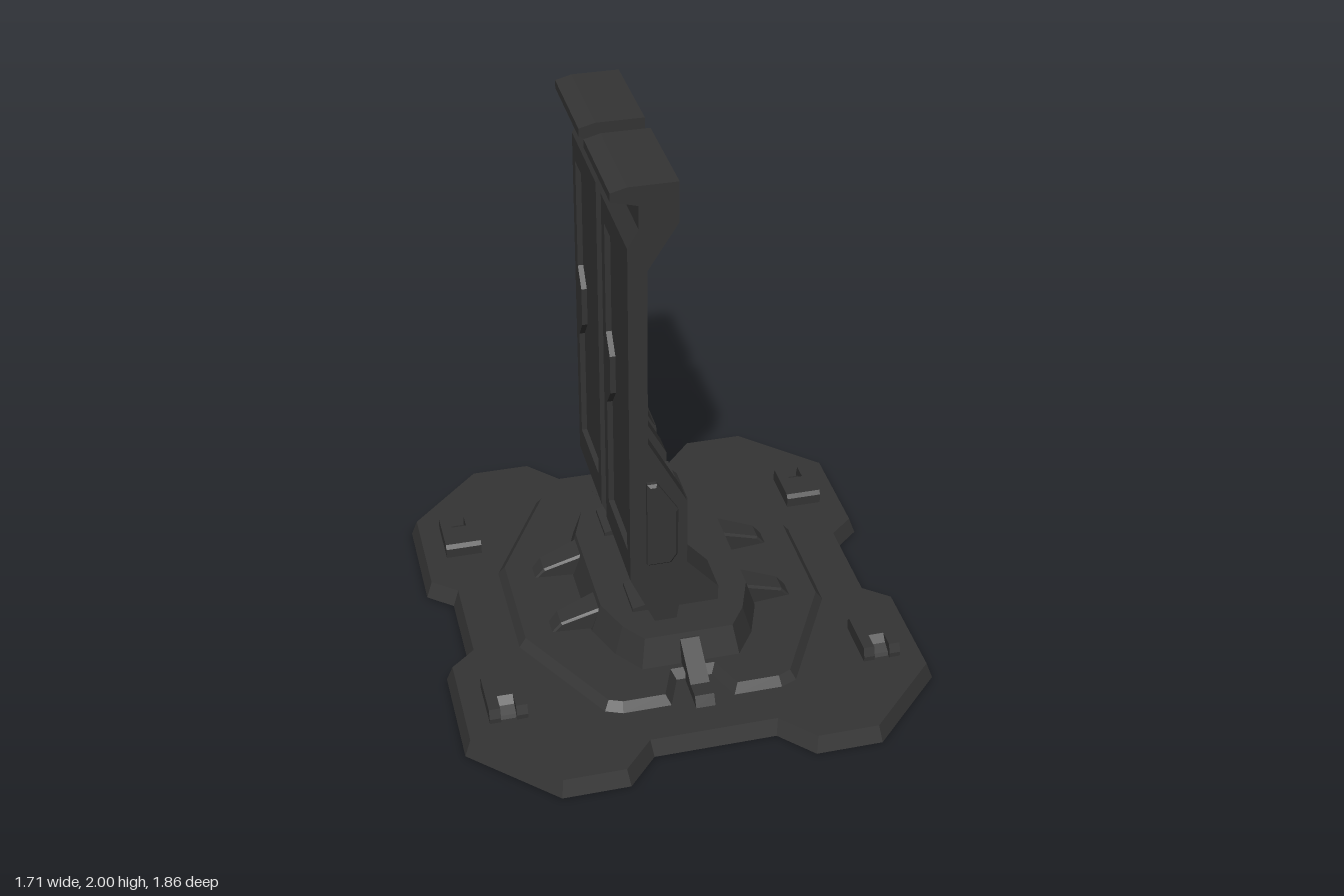
import * as THREE from 'three';

const dark = new THREE.MeshStandardMaterial({ color: 0x343434, side: THREE.DoubleSide });
dark.name = 'darkGraphite';

const toVectors = (pts) => pts.map(([x, y]) => new THREE.Vector2(x, y));
const shapeOf = (pts) => new THREE.Shape(toVectors(pts));

function addMesh(parent, name, geo) {
  const m = new THREE.Mesh(geo, dark);
  m.name = name;
  parent.add(m);
  return m;
}

// Mirror one quarter of an outline into a closed loop, moved along by shift
function mirrorQuarter(q, shift = 0) {
  const r = [...q].reverse();
  return [
    ...q,
    ...r.map(([x, y]) => [-x, y]),
    ...q.map(([x, y]) => [-x, -y]),
    ...r.map(([x, y]) => [x, -y]),
  ].map(([x, y]) => [x, y + shift]);
}

// Move every corner of a counter-clockwise outline inwards by d
function insetLoop(pts, d) {
  const n = pts.length;
  const normal = (a, b) => {
    const l = Math.hypot(b[0] - a[0], b[1] - a[1]);
    return [-(b[1] - a[1]) / l, (b[0] - a[0]) / l];
  };
  return pts.map((p, i) => {
    const a = normal(pts[(i + n - 1) % n], p);
    const b = normal(p, pts[(i + 1) % n]);
    const k = d / (1 + a[0] * b[0] + a[1] * b[1]);
    return [p[0] + (a[0] + b[0]) * k, p[1] + (a[1] + b[1]) * k];
  });
}

// Shell open below: sloping walls and a top, which may be cut out for the next tier
function tier(parent, name, pts, y0, y1, inset, cutout) {
  const top = insetLoop(pts, inset);
  const shape = shapeOf(top);
  if (cutout) shape.holes.push(new THREE.Path(toVectors(cutout)));
  const cap = new THREE.ShapeGeometry(shape).toNonIndexed();
  cap.translate(0, 0, y1);
  const verts = [...cap.attributes.position.array];
  pts.forEach((p, i) => {
    const j = (i + 1) % pts.length;
    const a = [...p, y0], b = [...pts[j], y0], c = [...top[j], y1], d = [...top[i], y1];
    verts.push(...a, ...b, ...c, ...a, ...c, ...d);
  });
  const geo = new THREE.BufferGeometry();
  geo.setAttribute('position', new THREE.Float32BufferAttribute(verts, 3));
  geo.rotateX(-Math.PI / 2);
  geo.computeVertexNormals();
  addMesh(parent, name, geo);
}

// Side profile in x and y, extruded from z0 to z1, with an optional chamfer
function slab(parent, name, pts, z0, z1, bevel = 0) {
  const geo = new THREE.ExtrudeGeometry(shapeOf(pts), {
    depth: z1 - z0 - 2 * bevel,
    bevelEnabled: bevel > 0,
    bevelThickness: bevel,
    bevelSize: bevel,
    bevelOffset: -bevel,
    bevelSegments: 1,
  });
  geo.translate(0, 0, z0 + bevel);
  return addMesh(parent, name, geo);
}

// Slotted lug whose outer end slopes down towards its local +x
function buildLug() {
  const lug = new THREE.Group();
  lug.name = 'cornerLug';
  const rail = [
    [-0.097, 0.055], [0.097, 0.055], [0.097, 0.08], [0.085, 0.115], [-0.085, 0.115], [-0.097, 0.1],
  ];
  const core = [
    [-0.097, 0.055], [0.09, 0.055], [0.08, 0.075], [0.045, 0.09], [0.02, 0.115], [-0.085, 0.115], [-0.097, 0.1],
  ];
  slab(lug, 'lugRail', rail, -0.068, -0.028);
  slab(lug, 'lugCore', core, -0.028, 0.028);
  slab(lug, 'lugRail', rail, 0.028, 0.068);
  return lug;
}

function buildBase() {
  const base = new THREE.Group();
  base.name = 'base';

  const middle = mirrorQuarter([
    [0.578, 0.22], [0.35, 0.63], [0.29, 0.655], [0.115, 0.655], [0.065, 0.53],
  ], 0.02);
  tier(base, 'basePlate', mirrorQuarter([
    [0.765, 0.165], [0.855, 0.24], [0.855, 0.65], [0.57, 0.93], [0.33, 0.93], [0.22, 0.81],
  ]), 0, 0.062, 0.022, middle);
  tier(base, 'middlePlate', middle, 0.062, 0.095, 0.025);
  tier(base, 'pedestal', mirrorQuarter([
    [0.31, 0.225], [0.255, 0.37], [0.18, 0.475],
  ], 0.012), 0.095, 0.205, 0.035);

  // Buttress ribs on both sides of the pedestal, narrowing outwards
  for (const z of [-0.173, 0.152]) {
    for (const turn of [0, Math.PI]) {
      const rib = slab(base, 'buttressRib', [
        [0.2, 0.095], [0.452, 0.095], [0.42, 0.135], [0.28, 0.187], [0.2, 0.187],
      ], -0.05, 0.05, 0.008);
      const p = rib.geometry.attributes.position;
      for (let i = 0; i < p.count; i++) {
        p.setZ(i, p.getZ(i) * (1.15 - (p.getX(i) - 0.27) * 2.2));
      }
      rib.geometry.computeVertexNormals();
      rib.position.z = z;
      rib.rotation.y = turn;
    }
  }

  // Narrow braces in the front and back notches
  for (const side of [1, -1]) {
    slab(base, 'notchBrace', [
      [0.36, 0.095], [0.52, 0.095], [0.52, 0.062], [0.672, 0.062], [0.65, 0.1],
      [0.59, 0.1], [0.44, 0.187], [0.36, 0.187],
    ], -0.035, 0.035).rotation.y = -side * Math.PI / 2;
  }

  // Corner lugs, slots facing outwards
  for (const x of [-0.685, 0.685]) {
    for (const side of [1, -1]) {
      const lug = buildLug();
      lug.position.set(x, 0, side * 0.48);
      lug.rotation.y = -side * Math.PI / 2;
      base.add(lug);
    }
  }
  return base;
}

function buildUpright(z) {
  const g = new THREE.Group();
  g.name = 'upright';
  const width = 0.385;

  // Shared back and top of the profile, finished by a front edge
  const back = [
    [-0.138, 1.69], [-0.033, 1.855], [-0.033, 2], [-0.2, 2], [-0.257, 1.985], [-0.257, 1.955],
    [-0.165, 1.93], [-0.165, 1.845], [-0.203, 1.78], [-0.203, 1.74], [-0.183, 1.74],
    [-0.183, 0.5], [-0.203, 0.5], [-0.203, 0.445], [-0.115, 0.245],
  ];
  const cheek = [...back, [-0.035, 0.245], [0, 0.47], [0, 0.76], [-0.138, 1.02]];
  const channel = [
    ...back, [-0.035, 0.245], [-0.002, 0.46], [-0.025, 0.5], [-0.025, 0.745], [-0.148, 0.99],
    [-0.122, 0.99], [-0.138, 1.02],
  ];
  slab(g, 'uprightCheek', cheek, 0, 0.09);
  slab(g, 'uprightCore', channel, 0.09, 0.295);
  slab(g, 'uprightCheek', cheek, 0.295, width);

  // Raised frame round the recessed back panel
  const frame = shapeOf([[0, 0.5], [width, 0.5], [width, 1.74], [0, 1.74]]);
  frame.holes.push(new THREE.Path(toVectors([
    [0.045, 0.55], [0.045, 0.98], [0.1, 1.05], [0.1, 1.2], [0.045, 1.27], [0.045, 1.69],
    [0.34, 1.69], [0.34, 1.27], [0.285, 1.2], [0.285, 1.05], [0.34, 0.98], [0.34, 0.55],
  ])));
  const geo = new THREE.ExtrudeGeometry(frame, { depth: 0.02, bevelEnabled: false });
  geo.rotateY(-Math.PI / 2);
  geo.translate(-0.183, 0, 0);
  addMesh(g, 'backFrame', geo);

  // Chamfered pods showing on both flanks
  slab(g, 'sidePods', [
    [-0.145, 0.513], [-0.06, 0.513], [-0.035, 0.55], [-0.035, 0.74], [-0.11, 0.86], [-0.145, 0.86],
  ], -0.025, width + 0.025, 0.01);

  // Supporting leg and foot
  slab(g, 'supportLeg', [
    [-0.17, 0.2], [0.15, 0.2], [0.15, 0.265], [0.032, 0.4], [0.032, 0.68], [0.003, 0.71],
    [0, 0.74], [-0.08, 0.74], [-0.08, 0.24], [-0.17, 0.22],
  ], 0.115, 0.272);

  g.position.z = z;
  return g;
}

export function createModel() {
  const model = new THREE.Group();
  model.name = 'displayStand';
  model.add(buildBase());
  for (const z of [0.002, -0.462]) model.add(buildUpright(z));
  return model;
}
